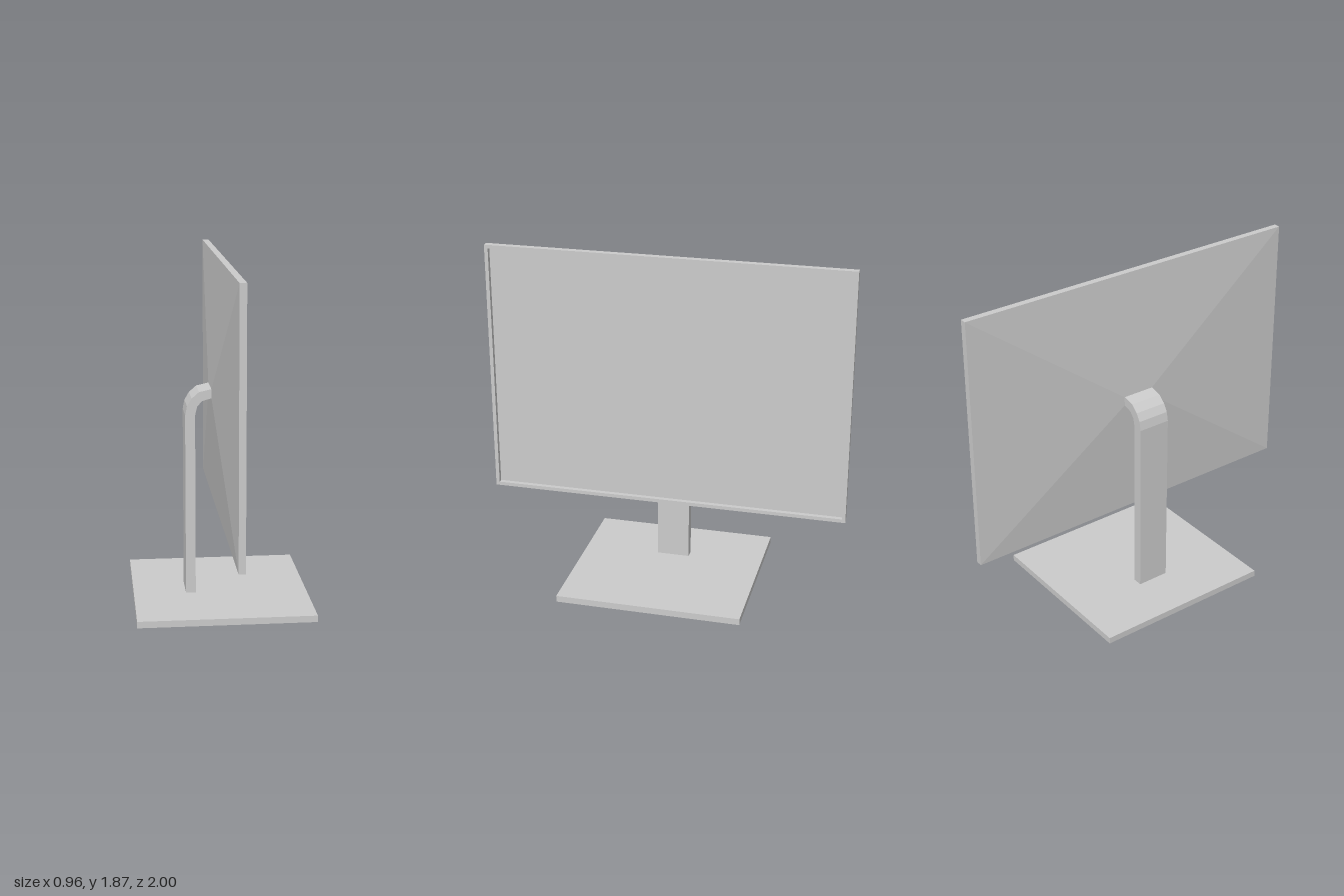
import * as THREE from 'three';
import { ConvexGeometry } from 'three/addons/geometries/ConvexGeometry.js';

const material = new THREE.MeshStandardMaterial({ color: 0xcccccc, flatShading: true });

function addPart(group, name, geometry, x = 0, y = 0, z = 0) {
  const mesh = new THREE.Mesh(geometry, material);
  mesh.name = name;
  mesh.position.set(x, y, z);
  group.add(mesh);
}

// Corner points of a rectangle, counter-clockwise
function rectangle(halfWidth, halfHeight) {
  return [[-1, -1], [1, -1], [1, 1], [-1, 1]].map(
    ([a, b]) => new THREE.Vector2(a * halfWidth, b * halfHeight));
}

export function createModel() {
  const model = new THREE.Group();
  model.name = 'monitor';

  const halfW = 1, halfH = 0.71, centreY = 1.16;
  const thickness = 0.036, bezel = 0.02, recess = 0.025;
  const neckHalf = 0.091;

  // Flat foot plate
  addPart(model, 'base', new THREE.BoxGeometry(0.956, 0.036, 1.024), 0, 0.018, 0);

  // Upright arm that bends forward to meet the back of the screen
  const outer = [[-0.19, 0.036], [-0.19, 1.04], [-0.18, 1.09], [-0.155, 1.132], [-0.115, 1.167], [-0.048, 1.182]];
  const inner = [[-0.048, 1.132], [-0.1, 1.117], [-0.125, 1.087], [-0.136, 1.04], [-0.136, 0.036]];
  const profile = new THREE.Shape([...outer, ...inner].map(([x, y]) => new THREE.Vector2(x, y)));
  addPart(model, 'neck',
    new THREE.ExtrudeGeometry(profile, { depth: 2 * neckHalf, bevelEnabled: false }), 0, 0, -neckHalf);

  // Shallow tapered back, narrowing to the arm's end
  const ring = (x, hw, hh, y) => rectangle(hw, hh).map((p) => new THREE.Vector3(x, y + p.y, p.x));
  addPart(model, 'backCover', new ConvexGeometry([
    ...ring(0, halfW, halfH, centreY), ...ring(-0.048, neckHalf, 0.025, 1.157)]));

  // Thin bezel frame facing +x
  const frame = new THREE.Shape(rectangle(halfW, halfH));
  frame.holes.push(new THREE.Path(rectangle(halfW - bezel, halfH - bezel).reverse()));
  const frameGeometry = new THREE.ExtrudeGeometry(frame, { depth: thickness, bevelEnabled: false });
  frameGeometry.rotateY(Math.PI / 2);
  addPart(model, 'bezel', frameGeometry, 0, centreY, 0);

  // Display set back inside the bezel
  const depth = thickness - recess;
  addPart(model, 'screen',
    new THREE.BoxGeometry(depth, 2 * (halfH - bezel), 2 * (halfW - bezel)), depth / 2, centreY, 0);

  return model;
}
